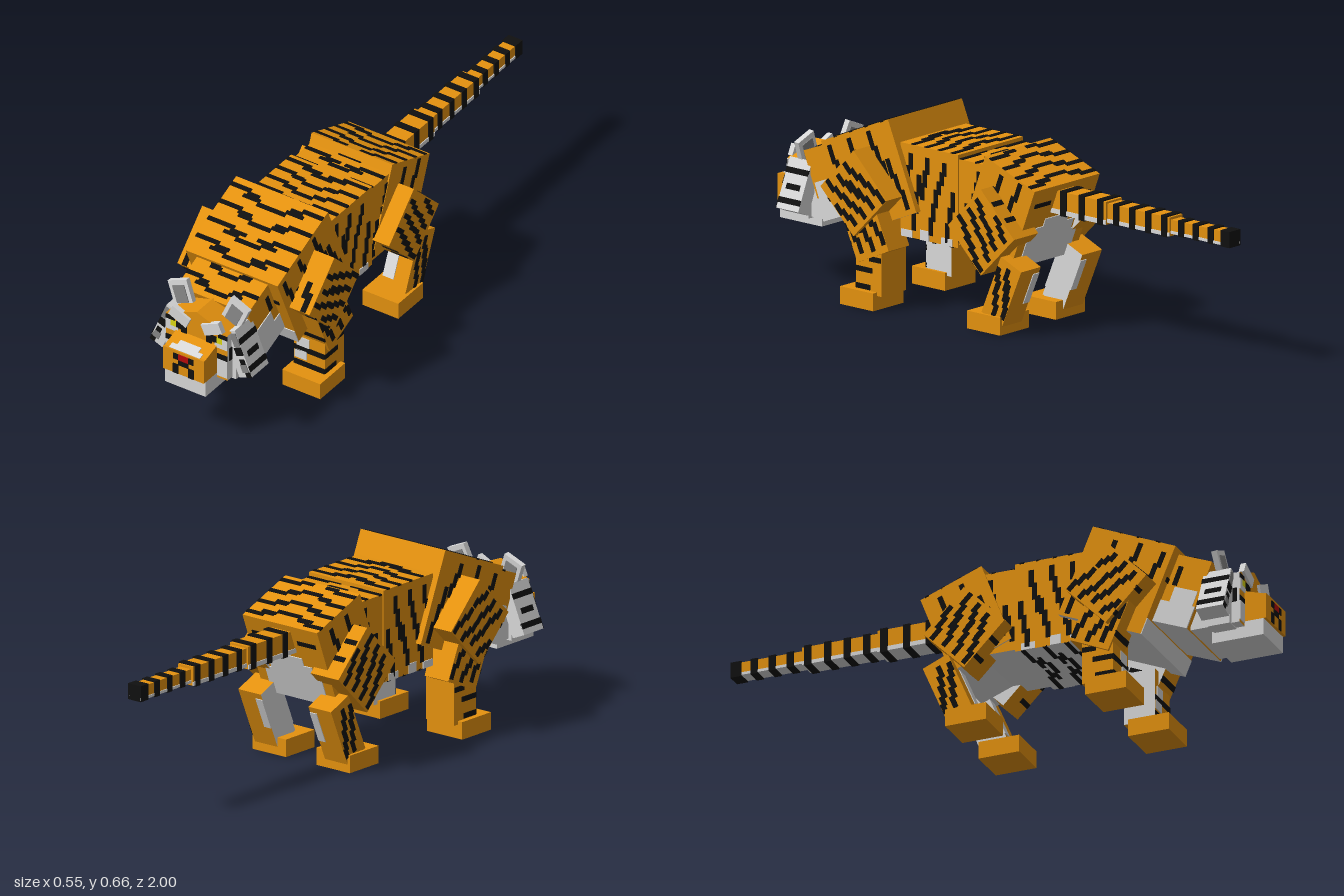
import * as THREE from 'three';
import { mergeGeometries } from 'three/addons/utils/BufferGeometryUtils.js';

const mat = (name, color) => Object.assign(new THREE.MeshStandardMaterial({ color }), { name });
const T = 0.006; // plate thickness of painted marks

export function createModel() {
  const orange = mat('orange fur', 0xe5920f), black = mat('black fur', 0x101010);
  const light = mat('pale fur', 0xdadada), gray = mat('gray fur', 0x868686);
  const yellow = mat('yellow eye', 0xdcd810), red = mat('red nose', 0xb80a0a);
  const model = new THREE.Group();
  model.name = 'tiger';

  let seed = 7;
  const rnd = () => (seed = (seed * 16807) % 2147483647) / 2147483647;

  // Box with optional per-face materials { right, left, top, bottom, front, back }
  function box(name, size, pos, rx = 0, rz = 0, base = orange, faces = {}) {
    const order = ['right', 'left', 'top', 'bottom', 'front', 'back'];
    const mesh = new THREE.Mesh(new THREE.BoxGeometry(...size), order.map(f => faces[f] || base));
    mesh.name = name;
    mesh.position.set(...pos);
    mesh.rotation.set(rx, 0, rz);
    mesh.userData.size = size;
    model.add(mesh);
    return mesh;
  }

  // Thin marks on one face; rects are [u, v, width, height]:
  // sides use (z, y), top and bottom (x, z), front and back (x, y)
  function paint(part, face, material, rects, name = 'stripes') {
    const [w, h, d] = part.userData.size;
    const geos = rects.map(([u, v, a, b]) => {
      const c = {
        right: [T, b, a, w / 2, v, u], left: [T, b, a, -w / 2, v, u],
        top: [a, T, b, u, h / 2, v], bottom: [a, T, b, u, -h / 2, v],
        front: [a, b, T, u, v, d / 2], back: [a, b, T, u, v, -d / 2],
      }[face];
      return new THREE.BoxGeometry(c[0], c[1], c[2]).translate(c[3], c[4], c[5]);
    });
    const mesh = new THREE.Mesh(mergeGeometries(geos), material);
    mesh.name = name;
    part.add(mesh);
  }

  // Stepped upright streaks over a face of width W and height H
  function streaks(W, H, n, lean = 1) {
    const out = [];
    for (let i = 0; i < n; i++) {
      const len = H * (0.3 + 0.3 * rnd()), u = ((i + 0.5) / n - 0.5) * W * 0.88;
      const v = (i % 2 ? 1 : -1) * (H - len) * 0.42 * (0.6 + 0.4 * rnd());
      for (const k of [-1, 0, 1])
        out.push([THREE.MathUtils.clamp(u + k * lean * 0.012, -W / 2 + 0.01, W / 2 - 0.01), v + k * len / 3, 0.018, len / 3 + 0.012]);
    }
    return out;
  }

  // Symmetric crosswise bars, alternately central and from the flanks
  function bars(W, L, n) {
    const out = [];
    for (let i = 0; i < n; i++) {
      const v = ((i + 0.5) / n - 0.5) * L * 0.92, s = W * (0.22 + 0.1 * rnd());
      if (i % 2) out.push([0, v, s, 0.016], [-s * 0.75, v - 0.013, s * 0.6, 0.014], [s * 0.75, v - 0.013, s * 0.6, 0.014]);
      else for (const k of [-1, 1]) out.push([k * (W / 2 - s / 2), v, s, 0.016], [k * (W / 2 - s * 1.2), v + 0.012, s * 0.6, 0.014]);
    }
    return out;
  }

  function stripeTorso(part, nTop, nSide, lean) {
    const [w, h, d] = part.userData.size;
    paint(part, 'top', black, bars(w, d, nTop));
    for (const f of ['right', 'left']) paint(part, f, black, streaks(d, h, nSide, lean));
  }

  // Torso
  const chest = box('chest', [0.375, 0.33, 0.33], [0, 0.441, 0.495], 0.4, 0, orange, { bottom: light });
  stripeTorso(chest, 8, 6, 1);
  paint(chest, 'front', black, [[0, 0.12, 0.17, 0.018], [-0.12, 0.05, 0.09, 0.018], [0.12, 0.05, 0.09, 0.018]]);
  paint(chest, 'front', light, [[0, -0.135, 0.375, 0.06]], 'chestPatch');
  const belly = box('belly', [0.33, 0.325, 0.26], [0, 0.4175, 0.24], 0, 0, orange, { bottom: light });
  stripeTorso(belly, 8, 6, -1);
  paint(belly, 'bottom', black, bars(0.33, 0.26, 6));
  for (const f of ['right', 'left'])
    paint(belly, f, light, [[-0.08, -0.15, 0.05, 0.025], [0.02, -0.145, 0.04, 0.035], [0.1, -0.15, 0.05, 0.025]], 'bellyEdge');
  const loin = box('loin', [0.32, 0.3, 0.19], [0, 0.415, 0.03], 0, 0, orange, { bottom: light });
  stripeTorso(loin, 5, 3, -1);
  const rump = box('rump', [0.33, 0.31, 0.24], [0, 0.41, -0.07], -0.365, 0, orange, { bottom: light });
  stripeTorso(rump, 7, 5, -1);
  paint(rump, 'back', light, [[0, -0.1, 0.25, 0.11], [0, -0.025, 0.19, 0.04], [0, 0.01, 0.12, 0.03]], 'rumpPatch');
  paint(rump, 'back', black, [[-0.1, 0.09, 0.08, 0.016], [0.1, 0.09, 0.08, 0.016]]);

  // Neck
  const neck = box('neck', [0.29, 0.25, 0.25], [0, 0.397, 0.665], 0.38, 0, orange, { bottom: light });
  paint(neck, 'top', black, bars(0.29, 0.25, 6));
  for (const f of ['right', 'left']) {
    paint(neck, f, light, [[0.02, -0.085, 0.21, 0.08], [0.07, -0.02, 0.09, 0.06]], 'neckRuff');
    paint(neck, f, black, [[-0.03, 0.03, 0.02, 0.07], [0.02, 0.05, 0.018, 0.07]]);
  }

  // Head, with a low ridged crown
  const head = box('head', [0.25, 0.185, 0.18], [0, 0.3275, 0.83], 0, 0, orange, { bottom: light, right: light, left: light });
  const ridge = new THREE.Shape([[-0.125, 0.42], [0.125, 0.42], [0, 0.47]].map(p => new THREE.Vector2(...p)));
  const crown = new THREE.Mesh(new THREE.ExtrudeGeometry(ridge, { depth: 0.18, bevelEnabled: false }), orange);
  crown.name = 'crown';
  crown.position.z = 0.74;
  model.add(crown);
  const face = (m, name, rects) => paint(head, 'front', m,
    rects.flatMap(([x, y, w, h]) => [-1, 1].map(s => [s * x, y - 0.3275, w, h])), name);
  face(light, 'eyeWhites', [[0.115, 0.388, 0.02, 0.022], [0.1, 0.368, 0.05, 0.018], [0.105, 0.28, 0.04, 0.07]]);
  face(yellow, 'eyes', [[0.094, 0.388, 0.022, 0.022]]);
  face(black, 'faceMarks', [[0.107, 0.408, 0.036, 0.016], [0.051, 0.374, 0.022, 0.055], [0.066, 0.388, 0.034, 0.025], [0.105, 0.325, 0.04, 0.02]]);
  for (const f of ['right', 'left']) paint(head, f, black, [[-0.05, 0.03, 0.02, 0.06], [0.07, 0.01, 0.02, 0.05]]);

  // Muzzle, nose and jaw
  const muzzle = box('muzzle', [0.166, 0.092, 0.1], [0, 0.299, 0.95]);
  paint(muzzle, 'front', red, [[0, 0.024, 0.042, 0.023]], 'nose');
  paint(muzzle, 'front', black, [[-0.031, 0.024, 0.02, 0.023], [0.031, 0.024, 0.02, 0.023], [0, 0.002, 0.042, 0.02],
    [-0.031, -0.026, 0.022, 0.038], [0.031, -0.026, 0.022, 0.038]], 'mouthMarks');
  const bridge = box('bridge', [0.166, 0.03, 0.09], [0, 0.342, 0.948], 0.3);
  paint(bridge, 'top', light, [[0, 0.033, 0.125, 0.022], [0, 0.012, 0.085, 0.022]], 'bridgePatch');
  box('jaw', [0.166, 0.06, 0.19], [0, 0.223, 0.895], 0, 0, light);

  // Paired head and leg parts
  for (const s of [-1, 1]) {
    const side = s > 0 ? 'left' : 'right', outer = s > 0 ? 'right' : 'left', inner = side;
    const nm = t => side.replace('right', s < 0 ? 'right' : 'left') + t;
    const ear = box(nm('Ear'), [0.08, 0.085, 0.02], [s * 0.112, 0.471, 0.845], -0.1, -s * 0.39, light);
    paint(ear, 'front', gray, [[0, -0.008, 0.05, 0.065]], 'innerEar');
    paint(ear, 'back', gray, [[0, -0.008, 0.05, 0.065]], 'earBack');
    box(nm('Brow'), [0.078, 0.042, 0.02], [s * 0.066, 0.43, 0.92], 0, s * 0.43, light);

    // Cheek ruffs
    const ruff = box(nm('CheekRuff'), [0.055, 0.18, 0.1], [s * 0.148, 0.34, 0.845], 0, s * 0.4, light);
    paint(ruff, 'front', gray, [[s * 0.014, 0.055, 0.024, 0.05], [s * 0.01, -0.055, 0.026, 0.03]], 'ruffShade');
    paint(ruff, 'front', black, [[s * 0.012, 0.01, 0.03, 0.03], [s * 0.012, -0.03, 0.02, 0.02], [s * 0.017, -0.08, 0.02, 0.02]]);
    paint(ruff, outer, black, [[0, 0.045, 0.1, 0.02], [0, -0.01, 0.06, 0.02], [0, -0.06, 0.1, 0.02]]);
    box(nm('LowerRuff'), [0.06, 0.08, 0.08], [s * 0.11, 0.27, 0.85], 0, 0, light);

    // Foreleg
    const shoulder = box(nm('Shoulder'), [0.1, 0.212, 0.212], [s * 0.22, 0.4, 0.49], Math.PI / 4);
    paint(shoulder, outer, black, streaks(0.212, 0.212, 7, 1));
    paint(shoulder, 'top', black, [[s * 0.022, 0.07, 0.02, 0.07], [s * 0.004, 0.03, 0.02, 0.06]]);
    paint(shoulder, 'front', black, [[s * 0.03, 0.05, 0.04, 0.018], [s * 0.04, -0.06, 0.02, 0.018]]);
    const upper = box(nm('UpperForeleg'), [0.105, 0.25, 0.155], [s * 0.1975, 0.301, 0.47], 0.42, 0, orange, { [inner]: light });
    paint(upper, outer, black, streaks(0.155, 0.25, 5, 1));
    paint(upper, 'front', black, [[0, -0.06, 0.105, 0.02]]);
    paint(upper, inner, black, [[0, -0.06, 0.1, 0.016]]);
    const lower = box(nm('LowerForeleg'), [0.125, 0.19, 0.115], [s * 0.178, 0.145, 0.447], 0, 0, orange, { [inner]: light });
    paint(lower, 'front', light, [[-s * 0.035, -0.035, 0.05, 0.035], [-s * 0.025, 0.015, 0.05, 0.04]], 'shinPatch');
    paint(lower, 'front', black, [[0, -0.011, 0.125, 0.02], [0, -0.071, 0.125, 0.02]]);
    paint(lower, outer, black, [[0.02, -0.011, 0.075, 0.018], [0.025, -0.071, 0.065, 0.018], [-0.03, 0.03, 0.05, 0.018]]);
    box(nm('ForePaw'), [0.155, 0.062, 0.15], [s * 0.182, 0.031, 0.485]);

    // Hind leg
    const thigh = box(nm('Thigh'), [0.123, 0.212, 0.212], [s * 0.1665, 0.35, -0.05], Math.PI / 4, 0, orange, { [inner]: light });
    paint(thigh, outer, black, streaks(0.212, 0.212, 7, -1));
    paint(thigh, 'front', black, [[s * 0.03, 0.03, 0.06, 0.018], [s * 0.03, -0.05, 0.06, 0.018]]);
    paint(thigh, 'back', black, [[s * 0.03, 0.04, 0.05, 0.018], [s * 0.02, -0.03, 0.05, 0.018]]);
    const shank = box(nm('Shank'), [0.1, 0.225, 0.1], [s * 0.155, 0.15, -0.122], -0.4, 0, orange, { [inner]: light });
    paint(shank, outer, black, streaks(0.1, 0.2, 4, 1));
    paint(shank, 'front', light, [[-s * 0.028, 0.01, 0.044, 0.18]], 'shankPatch');
    paint(shank, 'back', light, [[-s * 0.035, 0.03, 0.03, 0.12]], 'shankBackPatch');
    box(nm('HindPaw'), [0.147, 0.062, 0.15], [s * 0.1415, 0.031, -0.05]);
  }

  // Tail: three tapering banded segments with a black tip
  [[0.08, -0.2, -0.45, 3], [0.066, -0.44, -0.73, 4], [0.048, -0.73, -0.997, 4]].forEach(([w, z0, z1, n], i) => {
    const L = z0 - z1, seg = box('tailSegment' + (i + 1), [w, w, L], [0, 0.45, (z0 + z1) / 2], 0, 0, orange, { bottom: light, back: i === 2 ? black : orange });
    for (const f of ['right', 'left']) paint(seg, f, light, [[0, -w * 0.4, L, w * 0.2]], 'tailUnderside');
    for (let k = 0; k < n; k++) {
      const z = L / 2 - (k + 0.7) * L / n, t = i === 2 && k === n - 1 ? 0.04 : 0.026;
      const zz = t > 0.03 ? -L / 2 + t / 2 : z;
      const ring = new THREE.Mesh(new THREE.BoxGeometry(w + T * 1.4, w + T * 1.4, t), black);
      ring.name = t > 0.03 ? 'tailTip' : 'tailBand';
      ring.position.z = zz;
      seg.add(ring);
    }
  });
  return model;
}
